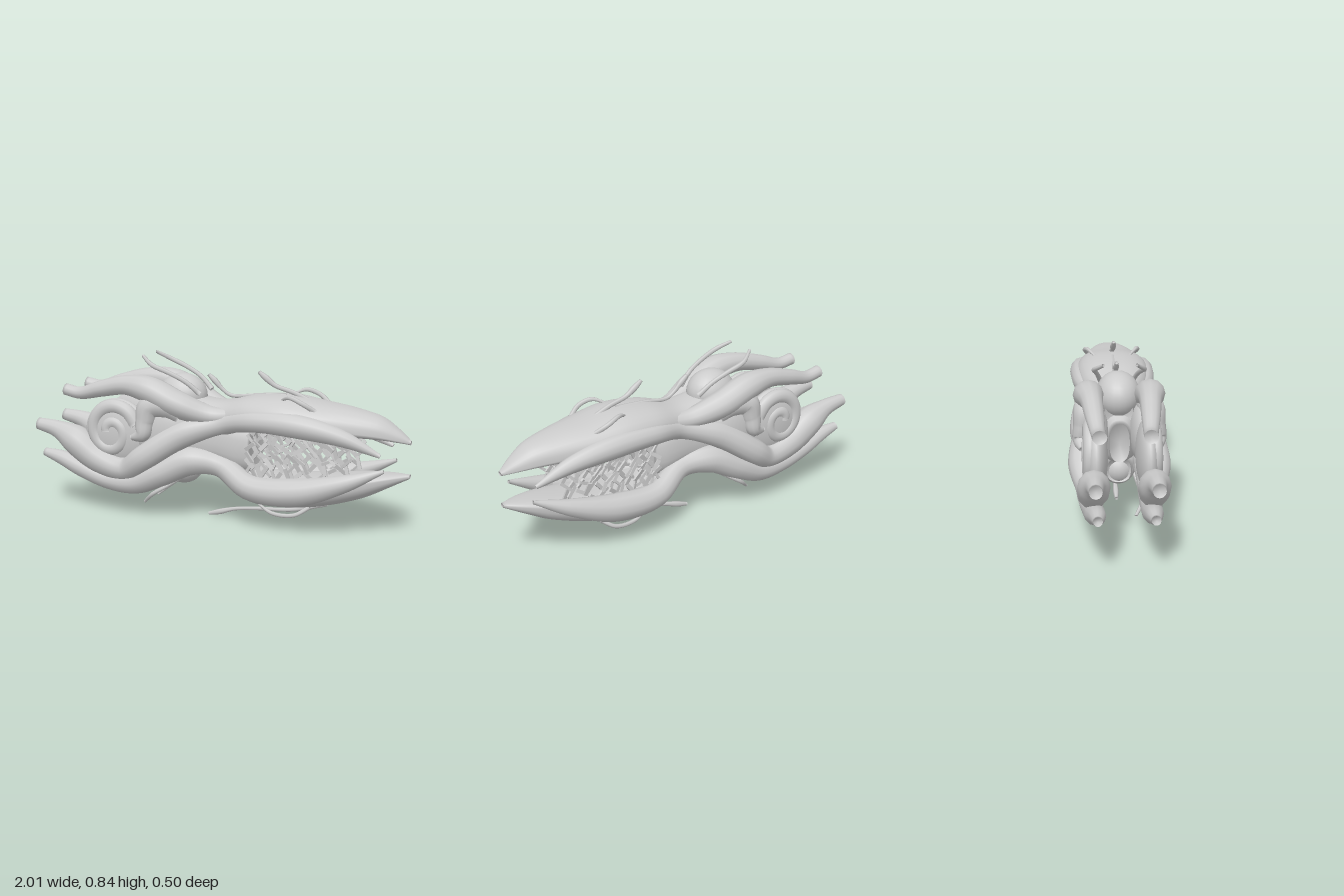
import * as THREE from 'three';

const V = (x, y, z) => new THREE.Vector3(x, y, z);
const material = new THREE.MeshStandardMaterial({ color: 0xcccccc, side: THREE.DoubleSide });

// Skin a list of closed rings and cap both ends
function skin(rings, sides) {
  const pos = [], index = [], last = rings.length - 1;
  rings.forEach(r => r.forEach(p => pos.push(p.x, p.y, p.z)));
  for (let i = 0; i < last; i++) for (let j = 0; j < sides; j++) {
    const k = (j + 1) % sides;
    const a = i * sides + j, b = a + sides, c = i * sides + k, d = c + sides;
    index.push(a, b, c, b, d, c);
  }
  for (const end of [0, last]) {
    const mid = V(0, 0, 0);
    rings[end].forEach(p => mid.addScaledVector(p, 1 / sides));
    const m = pos.length / 3;
    pos.push(mid.x, mid.y, mid.z);
    for (let j = 0; j < sides; j++) {
      const a = end * sides + j, b = end * sides + (j + 1) % sides;
      index.push(...(end ? [m, a, b] : [m, b, a]));
    }
  }
  const g = new THREE.BufferGeometry();
  g.setAttribute('position', new THREE.Float32BufferAttribute(pos, 3));
  g.setIndex(index);
  g.computeVertexNormals();
  return g;
}

// Tapered limb through [x, y, z, radius]; depth scales its z thickness
function limb(points, side = 1, depth = 1, steps = 48, sides = 12) {
  const path = new THREE.CatmullRomCurve3(points.map(p => V(p[0], p[1], p[2] * side)));
  const size = new THREE.CatmullRomCurve3(points.map((p, i) => V(p[3], i, 0)));
  const rings = [];
  for (let i = 0; i <= steps; i++) {
    const t = i / steps, c = path.getPoint(t), T = path.getTangent(t), r = Math.max(size.getPoint(t).x, 0.003);
    const Z = V(0, 0, 1).addScaledVector(T, -T.z).normalize(), B = Z.clone().cross(T);
    rings.push(Array.from({ length: sides }, (_, j) => {
      const a = j / sides * Math.PI * 2;
      return c.clone().addScaledVector(Z, Math.cos(a) * r * depth).addScaledVector(B, Math.sin(a) * r);
    }));
  }
  return skin(rings, sides);
}

// Hull from sections [x, y, halfWidth, rise, drop], with slightly squared shoulders
function hull(sections, steps = 48, sides = 28) {
  const main = new THREE.CatmullRomCurve3(sections.map(s => V(s[0], s[1], s[2])));
  const ends = new THREE.CatmullRomCurve3(sections.map((s, i) => V(s[3], s[4], i * 0.1)));
  const square = v => Math.sign(v) * Math.abs(v) ** 0.82;
  const rings = [];
  for (let i = 0; i <= steps; i++) {
    const m = main.getPoint(i / steps), e = ends.getPoint(i / steps);
    rings.push(Array.from({ length: sides }, (_, j) => {
      const a = j / sides * Math.PI * 2, s = square(Math.sin(a));
      return V(m.x, m.y + s * (s > 0 ? e.x : e.y), square(Math.cos(a)) * m.z);
    }));
  }
  return skin(rings, sides);
}

export function createModel() {
  const model = new THREE.Group();
  model.name = 'organicShip';
  const add = (name, geometry, parent = model) => {
    const mesh = new THREE.Mesh(geometry, material);
    mesh.name = name;
    parent.add(mesh);
    return mesh;
  };

  // Upper and lower jaws with the solid neck behind them
  add('upperJaw', hull([
    [-0.3, 0.57, 0.07, 0.06, 0.08], [-0.15, 0.55, 0.12, 0.09, 0.12], [0.02, 0.52, 0.13, 0.105, 0.1],
    [0.2, 0.55, 0.18, 0.115, 0.05], [0.38, 0.56, 0.195, 0.115, 0.05], [0.55, 0.545, 0.172, 0.107, 0.045],
    [0.7, 0.53, 0.135, 0.102, 0.035], [0.85, 0.515, 0.09, 0.082, 0.025], [0.94, 0.495, 0.05, 0.045, 0.015], [1, 0.48, 0.015, 0.01, 0.01]]));
  add('lowerJaw', hull([
    [-0.3, 0.26, 0.06, 0.07, 0.06], [-0.15, 0.3, 0.12, 0.1, 0.08], [0.0, 0.32, 0.125, 0.08, 0.08],
    [0.11, 0.26, 0.14, 0.06, 0.095], [0.21, 0.22, 0.165, 0.05, 0.11], [0.45, 0.22, 0.175, 0.05, 0.11],
    [0.62, 0.24, 0.15, 0.05, 0.1], [0.78, 0.275, 0.115, 0.035, 0.085], [0.91, 0.3, 0.065, 0.02, 0.045], [1, 0.312, 0.015, 0.01, 0.01]]));
  add('neck', hull([
    [-0.36, 0.43, 0.05, 0.1, 0.1], [-0.2, 0.43, 0.12, 0.16, 0.15], [0, 0.42, 0.125, 0.16, 0.13],
    [0.12, 0.4, 0.12, 0.16, 0.14], [0.2, 0.39, 0.1, 0.14, 0.13]], 24));

  // Round lobes on the spine and the belly
  for (const [name, y, r] of [['topLobe', 0.635, 0.115], ['bellyLobe', 0.26, 0.095]]) {
    const lobe = add(name, new THREE.SphereGeometry(r, 24, 16));
    lobe.position.set(-0.21, y, 0);
    lobe.scale.set(1.15, 1, 0.95);
  }

  for (const side of [1, -1]) {
    const half = new THREE.Group();
    half.name = side > 0 ? 'leftHalf' : 'rightHalf';
    model.add(half);

    // Long sweeping limbs from the tail tips into the jaw prongs
    add('upperTailLimb', limb([
      [-0.84, 0.64, 0.115, 0.032], [-0.75, 0.627, 0.12, 0.033], [-0.62, 0.66, 0.13, 0.043], [-0.47, 0.69, 0.14, 0.052],
      [-0.33, 0.675, 0.15, 0.07], [-0.18, 0.61, 0.14, 0.07], [0, 0.555, 0.1, 0.05], [0.2, 0.58, 0.1, 0.03]], side, 1.05), half);
    add('middleLimb', limb([
      [-1, 0.447, 0.14, 0.032], [-0.88, 0.425, 0.14, 0.048], [-0.77, 0.375, 0.14, 0.08], [-0.64, 0.29, 0.145, 0.075],
      [-0.47, 0.25, 0.165, 0.06], [-0.35, 0.325, 0.19, 0.066], [-0.15, 0.455, 0.145, 0.068], [0.05, 0.515, 0.11, 0.05],
      [0.25, 0.555, 0.165, 0.052], [0.48, 0.55, 0.168, 0.06], [0.7, 0.505, 0.15, 0.042], [0.88, 0.43, 0.13, 0.01]], side, 0.95, 80), half);
    add('lowerLimb', limb([
      [-0.97, 0.292, 0.13, 0.022], [-0.86, 0.267, 0.13, 0.04], [-0.74, 0.225, 0.135, 0.05], [-0.58, 0.178, 0.14, 0.052],
      [-0.42, 0.18, 0.15, 0.062], [-0.27, 0.245, 0.15, 0.07], [-0.12, 0.315, 0.12, 0.076], [0.04, 0.3, 0.095, 0.06],
      [0.22, 0.215, 0.15, 0.065], [0.46, 0.215, 0.16, 0.072], [0.7, 0.28, 0.155, 0.046], [0.9, 0.357, 0.13, 0.009]], side, 1, 80), half);
    // Broad hook curling down in front of the coil, and the short spike behind it
    add('hook', limb([
      [-0.17, 0.56, 0.12, 0.06], [-0.24, 0.6, 0.145, 0.065], [-0.325, 0.59, 0.16, 0.065], [-0.345, 0.515, 0.175, 0.052],
      [-0.355, 0.45, 0.19, 0.04], [-0.42, 0.425, 0.185, 0.014]], side), half);
    add('tailSpike', limb([
      [-0.82, 0.325, 0.14, 0.006], [-0.75, 0.31, 0.14, 0.03], [-0.65, 0.27, 0.145, 0.05], [-0.52, 0.22, 0.15, 0.04]], side), half);

    // Coiled side pod: flat core, filled shoulder and a flattened spiral ridge
    for (const [name, x, y, rx, ry, rz, z] of [
      ['podCore', -0.53, 0.435, 0.185, 0.18, 0.06, 0.125], ['podShoulder', -0.28, 0.46, 0.16, 0.16, 0.07, 0.12]]) {
      const body = add(name, new THREE.SphereGeometry(1, 28, 16), half);
      body.scale.set(rx, ry, rz);
      body.position.set(x, y, z * side);
    }
    const coil = [];
    for (let i = 0; i <= 16; i++) {
      const t = i / 16, a = 0.3 + t * Math.PI * 2.9, r = 0.142 - 0.115 * t;
      coil.push([-0.545 + Math.cos(a) * r, 0.442 + Math.sin(a) * r * 1.06, 0.15 + 0.015 * t, 0.04 - 0.008 * t]);
    }
    add('podCoil', limb(coil, side, 0.85, 90), half);

    // Paired feelers
    const feelers = {
      topFeeler: [[-0.08, 0.66, 0.08, 0.014], [-0.15, 0.72, 0.1, 0.012], [-0.24, 0.765, 0.115, 0.012], [-0.33, 0.8, 0.12, 0.012], [-0.4, 0.84, 0.08, 0.008]],
      bellyFeeler: [[-0.18, 0.22, 0.08, 0.014], [-0.25, 0.17, 0.1, 0.012], [-0.33, 0.12, 0.12, 0.012], [-0.4, 0.06, 0.08, 0.008]],
      browFeeler: [[0.55, 0.62, 0.12, 0.012], [0.49, 0.66, 0.145, 0.012], [0.42, 0.683, 0.13, 0.011], [0.36, 0.66, 0.09, 0.006]],
      chinFeeler: [[0.52, 0.13, 0.1, 0.012], [0.45, 0.09, 0.13, 0.011], [0.33, 0.085, 0.12, 0.01], [0.25, 0.12, 0.1, 0.006]],
    };
    for (const name in feelers) add(name, limb(feelers[name], side, 1, 16, 6), half);

    // Irregular lattice of flat struts closing the mouth, denser towards the throat
    let seed = 7;
    const rand = () => (seed = (seed * 16807) % 2147483647) / 2147483647;
    for (let i = 0; i < 17; i++) for (let j = 0; j < 6; j++) {
      const x = 0.2 + 0.51 * (i / 16) ** 1.15 + rand() * 0.015, y = 0.28 + j * 0.043 + rand() * 0.02;
      const strut = add('mouthStrut', new THREE.BoxGeometry(0.012 + rand() * 0.01, 0.045 + rand() * 0.035, 0.01), half);
      strut.position.set(x, y, (0.125 - 0.05 * Math.max(0, x - 0.45) + (rand() - 0.5) * 0.02) * side);
      strut.rotation.set((rand() - 0.5) * 0.5, (rand() - 0.5) * 0.6, ((i + j) % 3 ? 0.65 : -0.8) + (rand() - 0.5) * 0.8);
    }
  }

  // Feelers on the centre line
  const centre = {
    spineFeeler: [[0.36, 0.665, 0, 0.014], [0.2, 0.66, 0, 0.011], [0.06, 0.65, 0, 0.01], [0.01, 0.68, 0, 0.01], [-0.03, 0.72, 0, 0.015], [-0.065, 0.75, 0, 0.009]],
    crownFeeler: [[0.5, 0.64, 0, 0.014], [0.4, 0.685, 0, 0.012], [0.3, 0.715, 0, 0.012], [0.25, 0.75, 0, 0.016], [0.21, 0.78, 0, 0.009]],
    keelFeeler: [[0.58, 0.13, 0, 0.014], [0.4, 0.08, 0, 0.011], [0.2, 0.065, 0, 0.01], [0.08, 0.05, 0, 0.01], [0, 0.027, 0, 0.015], [-0.065, 0.01, 0, 0.009]],
  };
  for (const name in centre) add(name, limb(centre[name], 1, 1, 28, 6));
  return model;
}
